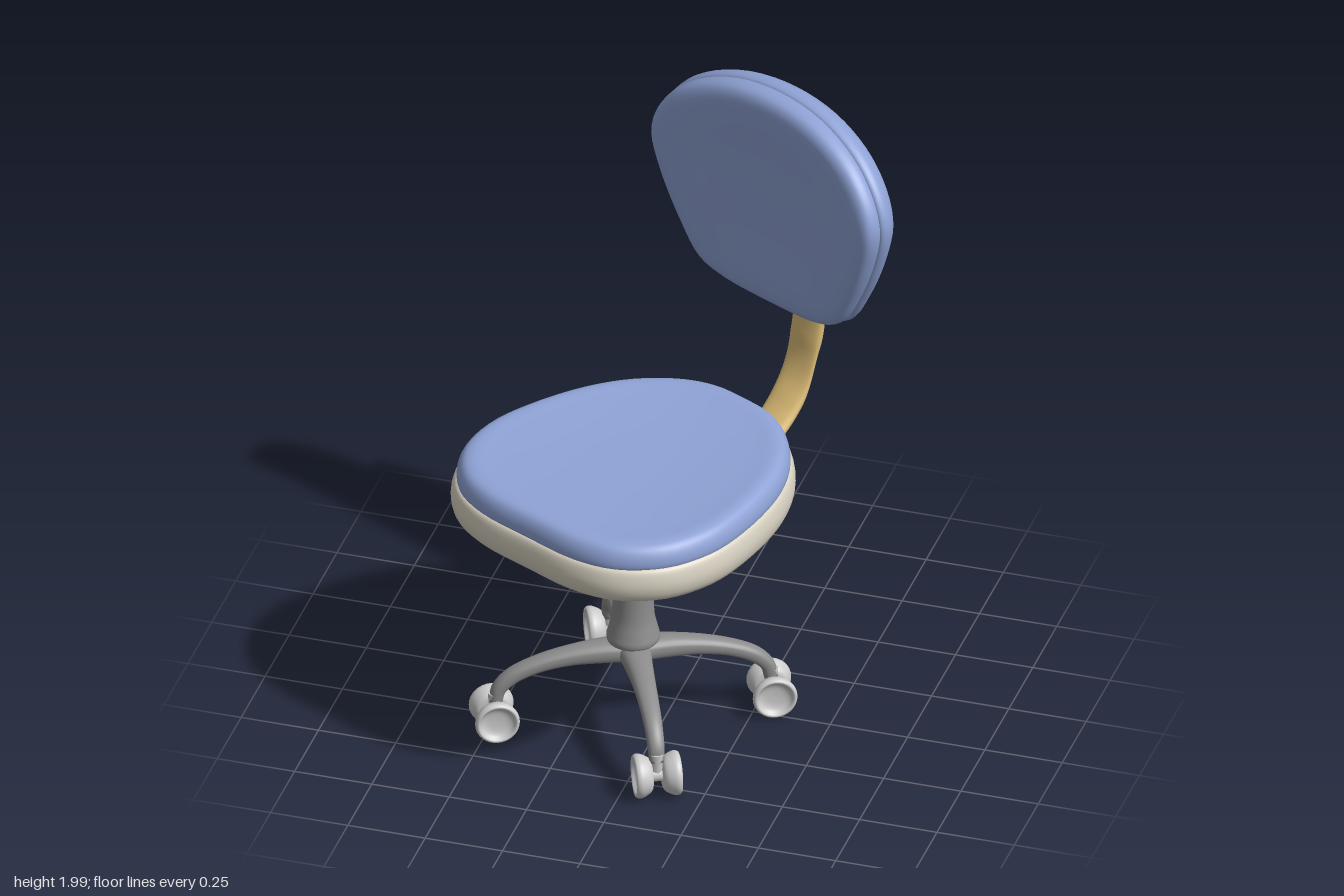
import * as THREE from 'three';

const V = (x, y, z) => new THREE.Vector3(x, y, z);
const mat = (color) => new THREE.MeshStandardMaterial({ color, roughness: 0.8 });
const BLUE = mat(0x8fa3d6), TAN = mat(0xdcbc76), CREAM = mat(0xd8d2c2);
const DARK = mat(0x8c8c8c), GREY = mat(0xcccccc);

// Smooth closed skin over a list of equal-length rings, capped at both ends
function skin(rings) {
  const n = rings[0].length, pts = rings.flat(), idx = [];
  for (let i = 0; i < rings.length - 1; i++)
    for (let j = 0; j < n; j++) {
      const a = i * n + j, b = i * n + (j + 1) % n;
      idx.push(a, b, a + n, b, b + n, a + n);
    }
  const cap = (start, flip) => {
    const c = V(0, 0, 0);
    for (let j = 0; j < n; j++) c.add(pts[start + j]);
    const k = pts.push(c.divideScalar(n)) - 1;
    for (let j = 0; j < n; j++) {
      const a = start + j, b = start + (j + 1) % n;
      flip ? idx.push(k, b, a) : idx.push(k, a, b);
    }
  };
  cap(0, true);
  cap((rings.length - 1) * n, false);
  // turn the faces outward whatever the ring direction
  let volume = 0;
  for (let i = 0; i < idx.length; i += 3)
    volume += pts[idx[i]].dot(V(0, 0, 0).crossVectors(pts[idx[i + 1]], pts[idx[i + 2]]));
  if (volume < 0) idx.reverse();
  const g = new THREE.BufferGeometry().setFromPoints(pts);
  g.setIndex(idx);
  g.computeVertexNormals();
  return g;
}

// Smooth closed outline from one half, mirrored in x
function outline(half) {
  const other = half.slice(1, -1).reverse().map(([x, y]) => [-x, y]);
  return new THREE.CatmullRomCurve3([...half, ...other].map(([x, y]) => V(x, y, 0)), true)
    .getPoints(80).slice(0, 80);
}

// Cushion: an outline scaled and shifted along a rounded edge profile
function cushion(shape, profile, place) {
  const fine = new THREE.CatmullRomCurve3(profile.map(([s, h]) => V(s, h, 0))).getPoints(profile.length * 3);
  return skin(fine.map((p) => shape.map((q) => place(q.x * p.x, q.y * p.x, p.y))));
}

// Rounded strap along a path in the z-y plane; each point is [z, y, halfWidth, halfThickness]
function strap(points, steps) {
  const path = new THREE.CatmullRomCurve3(points.map(([z, y]) => V(0, y, z)));
  const size = new THREE.CatmullRomCurve3(points.map((p) => V(p[2], p[3], 0)));
  const rings = [];
  for (let i = 0; i <= steps; i++) {
    const t = i / steps, c = path.getPoint(t), d = path.getTangent(t), s = size.getPoint(t);
    const normal = V(0, d.z, -d.y);
    rings.push(Array.from({ length: 24 }, (_, j) => {
      const a = j / 24 * Math.PI * 2;
      const px = Math.cos(a), py = Math.sign(Math.sin(a)) * Math.abs(Math.sin(a)) ** 0.75;
      return c.clone().addScaledVector(normal, py * s.y).add(V(px * s.x, 0, 0));
    }));
  }
  return skin(rings);
}

function lathe(points, segments = 40) {
  const curve = new THREE.SplineCurve(points.map(([r, y]) => new THREE.Vector2(r, y)));
  const pts = curve.getPoints(points.length * 4).map((p) => p.setX(Math.max(0, p.x)));
  return new THREE.LatheGeometry(pts, segments);
}

function add(parent, name, geometry, material) {
  const m = new THREE.Mesh(geometry, material);
  m.name = name;
  parent.add(m);
  return m;
}

function makeBase() {
  const base = new THREE.Group();
  base.name = 'base';
  add(base, 'column', lathe([[0, 0.30], [0.07, 0.30], [0.083, 0.315], [0.077, 0.345], [0.066, 0.40],
    [0.063, 0.50], [0.068, 0.60], [0.08, 0.655], [0.088, 0.69], [0.088, 0.72]]), DARK);

  const legShape = strap([[0, 0.268, 0.055, 0.037], [0.1, 0.268, 0.044, 0.036], [0.2, 0.261, 0.036, 0.03],
    [0.3, 0.24, 0.031, 0.026], [0.38, 0.205, 0.028, 0.025], [0.42, 0.165, 0.026, 0.023], [0.432, 0.12, 0.024, 0.022]], 36);
  // bowl-shaped wheel, hollow on its outer side
  const wheelShape = lathe([[0, -0.03], [0.04, -0.029], [0.056, -0.02], [0.067, 0], [0.07, 0.014],
    [0.066, 0.025], [0.058, 0.026], [0.048, 0.014], [0.03, 0.007], [0, 0.005]], 32);
  for (let i = 0; i < 4; i++) {
    const leg = new THREE.Group();
    leg.name = 'leg';
    leg.rotation.y = i * Math.PI / 2;
    add(leg, 'legArm', legShape, DARK);
    const axle = add(leg, 'axle', new THREE.CylinderGeometry(0.022, 0.022, 0.08, 16), GREY);
    axle.position.set(0, 0.075, 0.435);
    axle.rotation.z = Math.PI / 2;
    const stem = add(leg, 'casterStem', new THREE.CylinderGeometry(0.022, 0.018, 0.08, 16), GREY);
    stem.position.set(0, 0.11, 0.433);
    for (const side of [-1, 1]) {
      const wheel = add(leg, 'wheel', wheelShape, GREY);
      wheel.position.set(side * 0.045, 0.075, 0.435);
      wheel.rotation.z = -side * Math.PI / 2;
    }
    base.add(leg);
  }
  return base;
}

function makeSeat() {
  const seat = new THREE.Group();
  seat.name = 'seat';
  const shape = outline([[0, -0.53], [0.117, -0.522], [0.225, -0.475], [0.343, -0.365], [0.428, -0.215],
    [0.488, 0], [0.5, 0.165], [0.455, 0.325], [0.345, 0.443], [0.205, 0.492], [0, 0.498]]);
  const flat = (x, z, h) => V(x, h, z);
  add(seat, 'seatShell', cushion(shape, [[0.3, 0.757], [0.8, 0.755], [0.91, 0.762], [0.98, 0.79],
    [1, 0.83], [0.99, 0.87], [0.97, 0.89], [0.9, 0.893]], flat), CREAM);
  add(seat, 'seatCushion', cushion(shape, [[0.94, 0.875], [0.967, 0.895], [0.963, 0.925], [0.935, 0.953],
    [0.88, 0.965], [0.75, 0.961], [0.4, 0.952], [0.1, 0.95]], flat), BLUE);
  add(seat, 'seatPlate', lathe([[0, 0.69], [0.12, 0.692], [0.19, 0.703], [0.235, 0.722],
    [0.25, 0.742], [0.245, 0.765], [0, 0.765]], 48), TAN);
  return seat;
}

function makeBackrest() {
  const back = new THREE.Group();
  back.name = 'backrest';
  // outline measured from the middle of the pad
  const shape = outline([[0, 0.38], [0.2, 0.355], [0.36, 0.28], [0.45, 0.18], [0.48, 0.08],
    [0.445, -0.06], [0.37, -0.22], [0.295, -0.33], [0.2, -0.37], [0, -0.385]]);
  // the pad wraps gently around the sitter
  const wrap = (x, y, h) => V(x, y + 1.62, h + 0.05 * (x / 0.48) ** 2);
  add(back, 'backrestRear', cushion(shape, [[0.2, -0.775], [0.7, -0.77], [0.86, -0.757], [0.96, -0.727],
    [1, -0.69], [0.985, -0.665], [0.9, -0.66]], wrap), BLUE);
  add(back, 'backrestFront', cushion(shape, [[0.9, -0.68], [0.97, -0.668], [0.985, -0.645], [0.97, -0.618],
    [0.92, -0.6], [0.8, -0.592], [0.4, -0.6], [0.1, -0.602]], wrap), BLUE);
  // strap from under the seat, widening into the plate behind the pad
  add(back, 'backrestSupport', strap([[-0.08, 0.722, 0.17, 0.02], [-0.18, 0.717, 0.13, 0.022],
    [-0.28, 0.712, 0.075, 0.023], [-0.4, 0.72, 0.062, 0.022], [-0.56, 0.765, 0.062, 0.022],
    [-0.7, 0.875, 0.062, 0.021], [-0.775, 1.05, 0.062, 0.021], [-0.8, 1.22, 0.063, 0.023],
    [-0.806, 1.33, 0.08, 0.027], [-0.808, 1.42, 0.145, 0.032], [-0.808, 1.53, 0.2, 0.036],
    [-0.806, 1.65, 0.21, 0.036], [-0.803, 1.75, 0.17, 0.033], [-0.8, 1.8, 0.105, 0.026],
    [-0.798, 1.82, 0.02, 0.012]], 110), TAN);
  return back;
}

export function createModel() {
  const chair = new THREE.Group();
  chair.name = 'swivelChair';
  const base = makeBase();
  base.rotation.y = 0.47;
  // the seat and backrest are swivelled on the base
  const upper = new THREE.Group();
  upper.name = 'swivelTop';
  upper.rotation.y = -0.46;
  upper.add(makeSeat(), makeBackrest());
  for (const part of [base, upper]) {
    part.position.set(-0.09, 0, 0.153);
    chair.add(part);
  }
  return chair;
}
